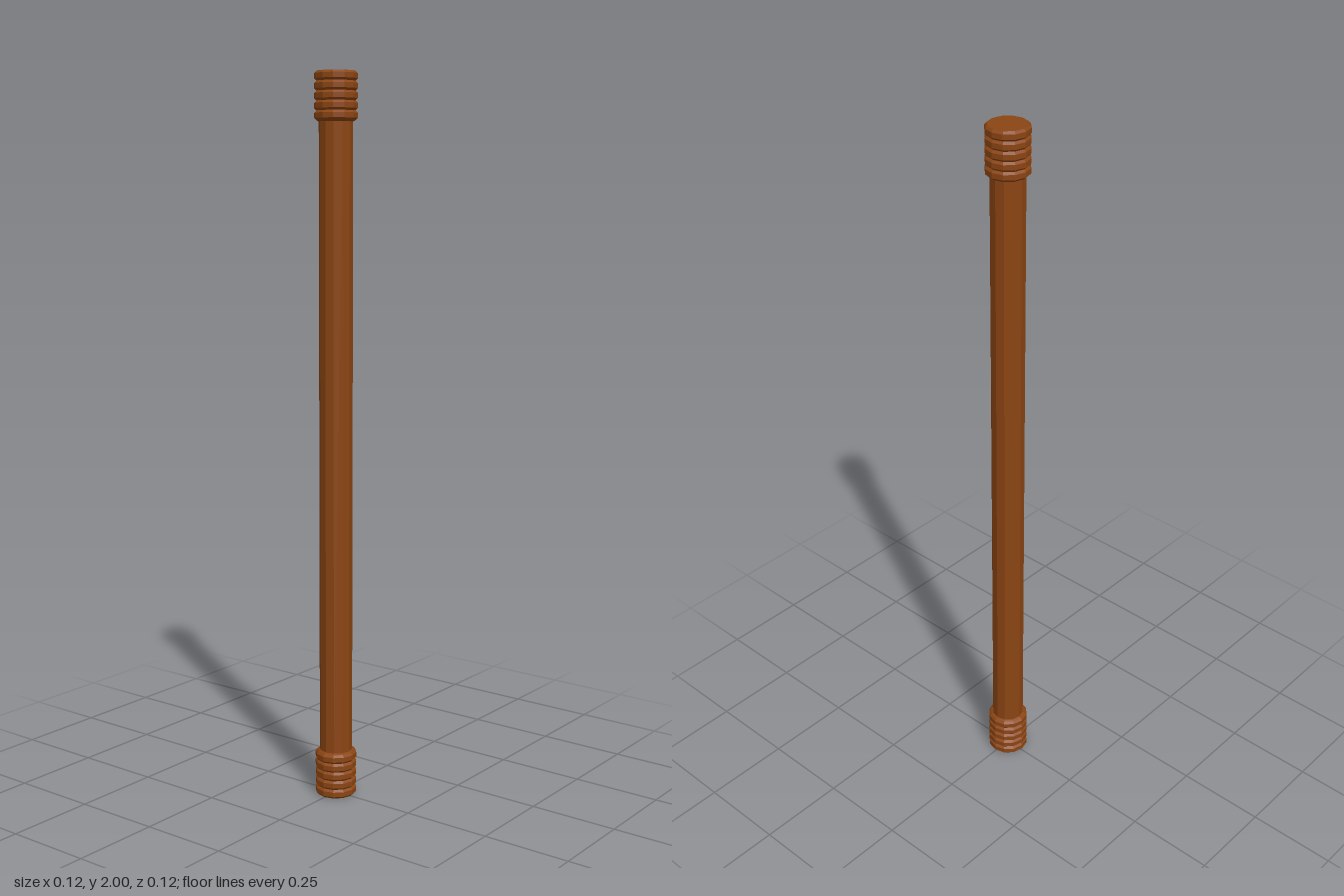
import * as THREE from 'three';

const SIDES = 12;
const SHAFT_R = 0.046, GROOVE_R = 0.052, RIB_R = 0.058;
const RIBS = 5, PITCH = 0.0255, BEVEL = 0.006;

// Ribbed grip: stacked bevelled rings, closed at the outer end, y = 0 upward
function gripGeometry() {
  const pts = [new THREE.Vector2(0, 0)];
  for (let i = 0; i < RIBS; i++) {
    const y = i * PITCH;
    pts.push(
      new THREE.Vector2(GROOVE_R, y),
      new THREE.Vector2(RIB_R, y + BEVEL),
      new THREE.Vector2(RIB_R, y + PITCH - BEVEL),
    );
  }
  // Shoulder sloping in to the shaft
  pts.push(new THREE.Vector2(GROOVE_R, RIBS * PITCH), new THREE.Vector2(SHAFT_R - 0.002, RIBS * PITCH + 0.004));
  return new THREE.LatheGeometry(pts, SIDES);
}

export function createModel() {
  const group = new THREE.Group();
  group.name = 'staff';
  const wood = new THREE.MeshStandardMaterial({ color: 0x8b4513, flatShading: true });

  // Shaft running between the two grips
  const shaft = new THREE.Mesh(new THREE.CylinderGeometry(SHAFT_R, SHAFT_R, 1.8, SIDES, 1, true), wood);
  shaft.name = 'shaft';
  shaft.position.y = 1;
  group.add(shaft);

  // Matching grips, the upper one turned over
  const geometry = gripGeometry();
  const lower = new THREE.Mesh(geometry, wood);
  lower.name = 'lowerGrip';
  const upper = new THREE.Mesh(geometry, wood);
  upper.name = 'upperGrip';
  upper.rotation.x = Math.PI;
  upper.position.y = 2;
  group.add(lower, upper);

  return group;
}
